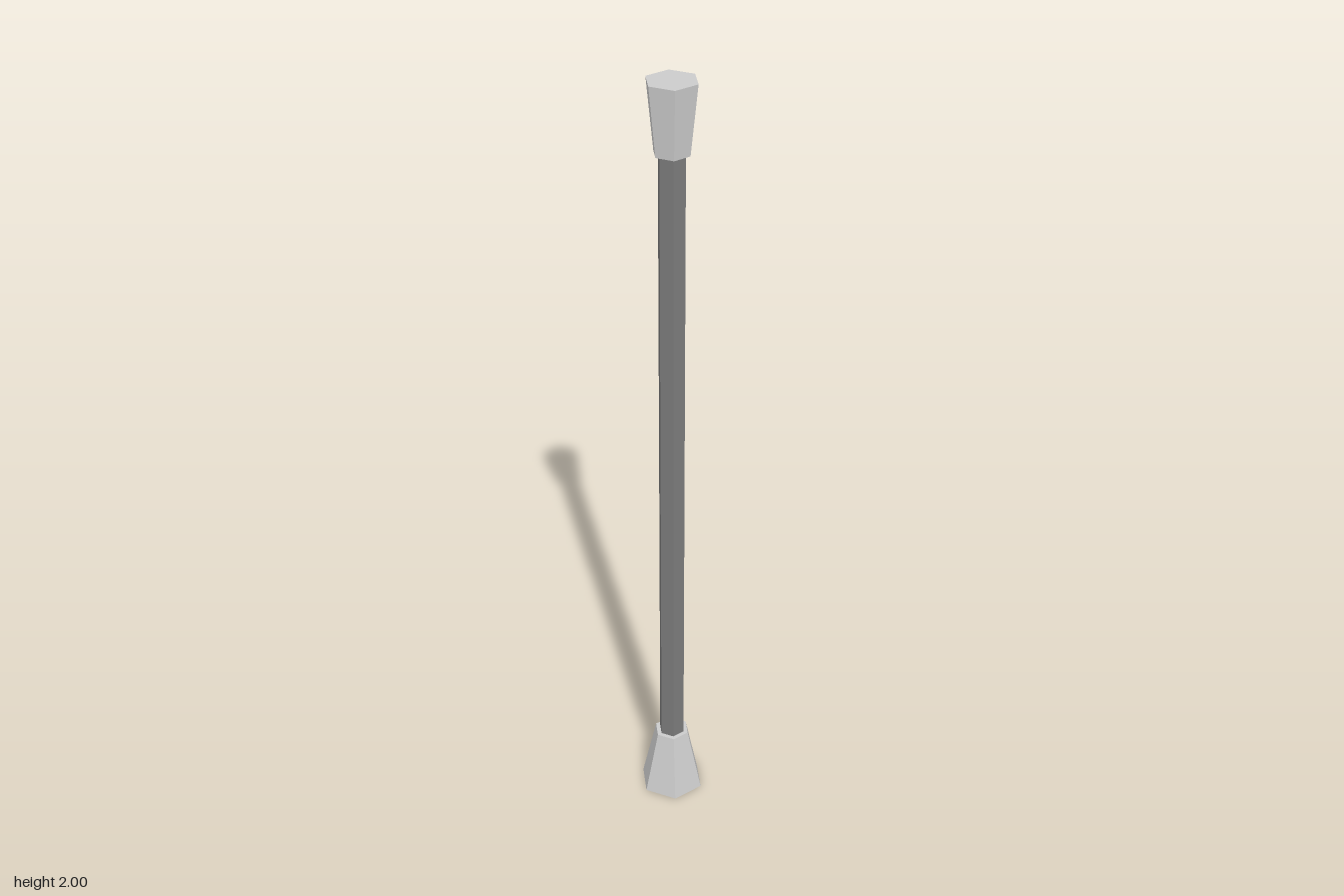
import * as THREE from 'three';

const SIDES = 6;

// Six-sided tapered prism standing between two heights, corners on the x axis
function hexPart(name, rBottom, rTop, y0, y1, color) {
  const geometry = new THREE.CylinderGeometry(rTop, rBottom, y1 - y0, SIDES, 1, false, Math.PI / 2);
  const material = new THREE.MeshStandardMaterial({ color, flatShading: true });
  const mesh = new THREE.Mesh(geometry, material);
  mesh.name = name;
  mesh.position.y = (y0 + y1) / 2;
  return mesh;
}

export function createModel() {
  const group = new THREE.Group();
  group.name = 'pole';
  group.add(
    // Flared foot, slim dark shaft and widening head
    hexPart('foot', 0.085, 0.046, 0, 0.175, 0xcccccc),
    hexPart('shaft', 0.034, 0.034, 0.175, 1.83, 0x7a7a7a),
    hexPart('head', 0.045, 0.063, 1.83, 2, 0xcccccc),
  );
  return group;
}
